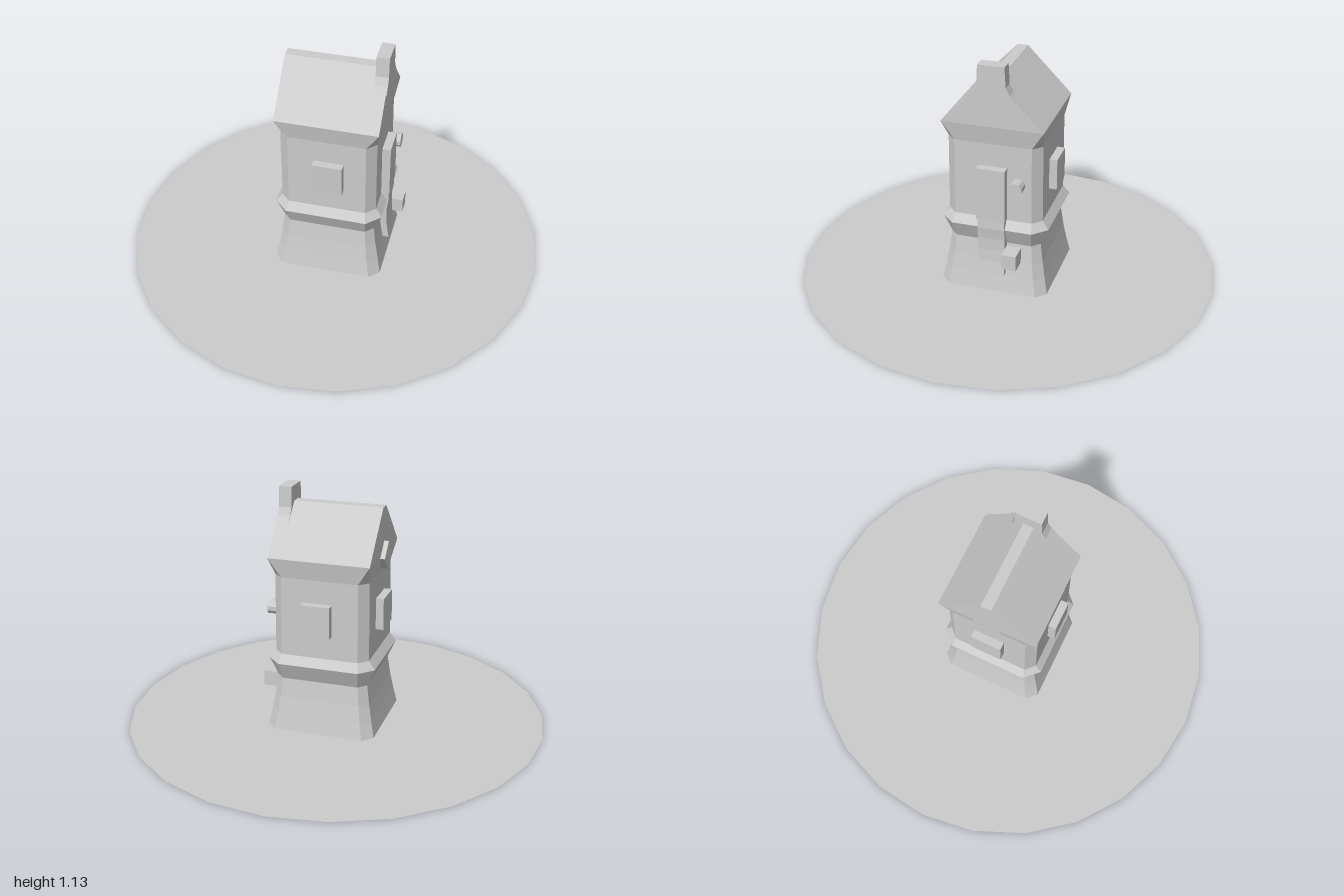
import * as THREE from 'three';

const YAW = THREE.MathUtils.degToRad(44);
const OFFSET = new THREE.Vector3(0.008, 0, 0.01);
const mat = new THREE.MeshStandardMaterial({ color: 0xcccccc, flatShading: true, side: THREE.DoubleSide });

function add(parent, name, geometry, x = 0, y = 0, z = 0) {
  const mesh = new THREE.Mesh(geometry, mat);
  mesh.name = name;
  mesh.position.set(x, y, z);
  parent.add(mesh);
  return mesh;
}

// Square with half side h and its corners cut by a, as [x, z] going round from the front.
function cutSquare(h, a) {
  const b = h - a;
  return [[-b, h], [b, h], [h, b], [h, -b], [b, -h], [-b, -h], [-h, -b], [-h, b]];
}

// Skin between rings of [x, y, z] points, optionally closed at the top.
function loft(rings, capTop = false) {
  const n = rings[0].length;
  const index = [];
  for (let r = 0; r < rings.length - 1; r++) {
    for (let i = 0; i < n; i++) {
      const a = r * n + i, b = r * n + (i + 1) % n;
      index.push(a, b, b + n, a, b + n, a + n);
    }
  }
  const top = (rings.length - 1) * n;
  if (capTop) for (let i = 1; i < n - 1; i++) index.push(top, top + i, top + i + 1);
  const g = new THREE.BufferGeometry();
  g.setAttribute('position', new THREE.Float32BufferAttribute(rings.flat(2), 3));
  g.setIndex(index);
  g.computeVertexNormals();
  return g;
}

export function createModel() {
  const model = new THREE.Group();
  model.name = 'houseOnDisc';
  const house = new THREE.Group();
  house.name = 'house';
  house.position.copy(OFFSET);
  house.rotation.y = YAW;
  model.add(house);

  // Walls: flared foot, belt course, straight upper storey, flare to the eaves [y, half side, corner cut]
  const profile = [
    [0, 0.26, 0.046], [0.08, 0.244, 0.044], [0.16, 0.23, 0.04], [0.25, 0.218, 0.036],
    [0.335, 0.256, 0.064], [0.375, 0.226, 0.042], [0.75, 0.224, 0.042], [0.84, 0.24, 0.001],
  ];
  add(house, 'walls', loft(profile.map(([y, h, a]) => cutSquare(h, a).map(([x, z]) => [x, y, z]))));

  // Ground disc with an opening under the house
  const disc = new THREE.Shape();
  for (let i = 0; i < 24; i++) {
    const deg = i <= 12 ? i * 15.17 : 182 + (i - 12) * 14.83;
    const t = THREE.MathUtils.degToRad(deg);
    const x = Math.sin(t), y = Math.cos(t);
    if (i) disc.lineTo(x, y); else disc.moveTo(x, y);
  }
  disc.closePath();
  const axis = new THREE.Vector3(0, 1, 0);
  disc.holes.push(new THREE.Path(cutSquare(0.26, 0.046).map(([x, z]) => {
    const p = new THREE.Vector3(x, 0, z).applyAxisAngle(axis, YAW).add(OFFSET);
    return new THREE.Vector2(p.x, -p.z);
  })));
  add(model, 'groundDisc', new THREE.ShapeGeometry(disc).rotateX(-Math.PI / 2));

  // Gabled roof with a narrow flat ridge
  const gable = new THREE.Shape([[-0.24, 0.84], [0.24, 0.84], [0.025, 1.058], [-0.025, 1.058]]
    .map(([x, y]) => new THREE.Vector2(x, y)));
  add(house, 'roof', new THREE.ExtrudeGeometry(gable, { depth: 0.48, bevelEnabled: false }), 0, 0, -0.24);

  // Chimney growing out of the front gable
  const stack = [[0.97, 0.113], [1.0, 0.085], [1.035, 0.067], [1.13, 0.062]];
  add(house, 'chimney', loft(stack.map(([y, w]) =>
    [[-w, y, 0.243], [w, y, 0.243], [w, y, 0.183], [-w, y, 0.183]]), true));

  // Front door panel and the curved strip running down from it
  add(house, 'doorPanel', new THREE.BoxGeometry(0.137, 0.26, 0.06), 0, 0.51, 0.235);
  const strip = [[0.1, 0.27], [0.16, 0.26], [0.22, 0.255], [0.28, 0.255], [0.335, 0.262], [0.38, 0.26]];
  add(house, 'doorStrip', loft(strip.map(([y, z]) =>
    [[-0.065, y, z], [0.065, y, z], [0.065, y, 0.2], [-0.065, y, 0.2]]), true));

  // Round lamp and small box beside the door
  add(house, 'lamp', new THREE.CylinderGeometry(0.033, 0.033, 0.07, 10).rotateX(Math.PI / 2), 0.12, 0.563, 0.245);
  add(house, 'letterBox', new THREE.BoxGeometry(0.07, 0.075, 0.1), 0.1, 0.198, 0.26);

  // Windows on the two sides and the back
  for (const s of [-1, 1]) {
    add(house, 'sideWindow', new THREE.BoxGeometry(0.06, 0.15, 0.14), s * 0.232, 0.565, 0.01);
  }
  add(house, 'backWindow', new THREE.BoxGeometry(0.15, 0.15, 0.06), 0, 0.565, -0.232);
  const diamond = add(house, 'diamondWindow', new THREE.BoxGeometry(0.095, 0.095, 0.06), 0, 0.83, -0.232);
  diamond.rotation.z = Math.PI / 4;

  return model;
}
